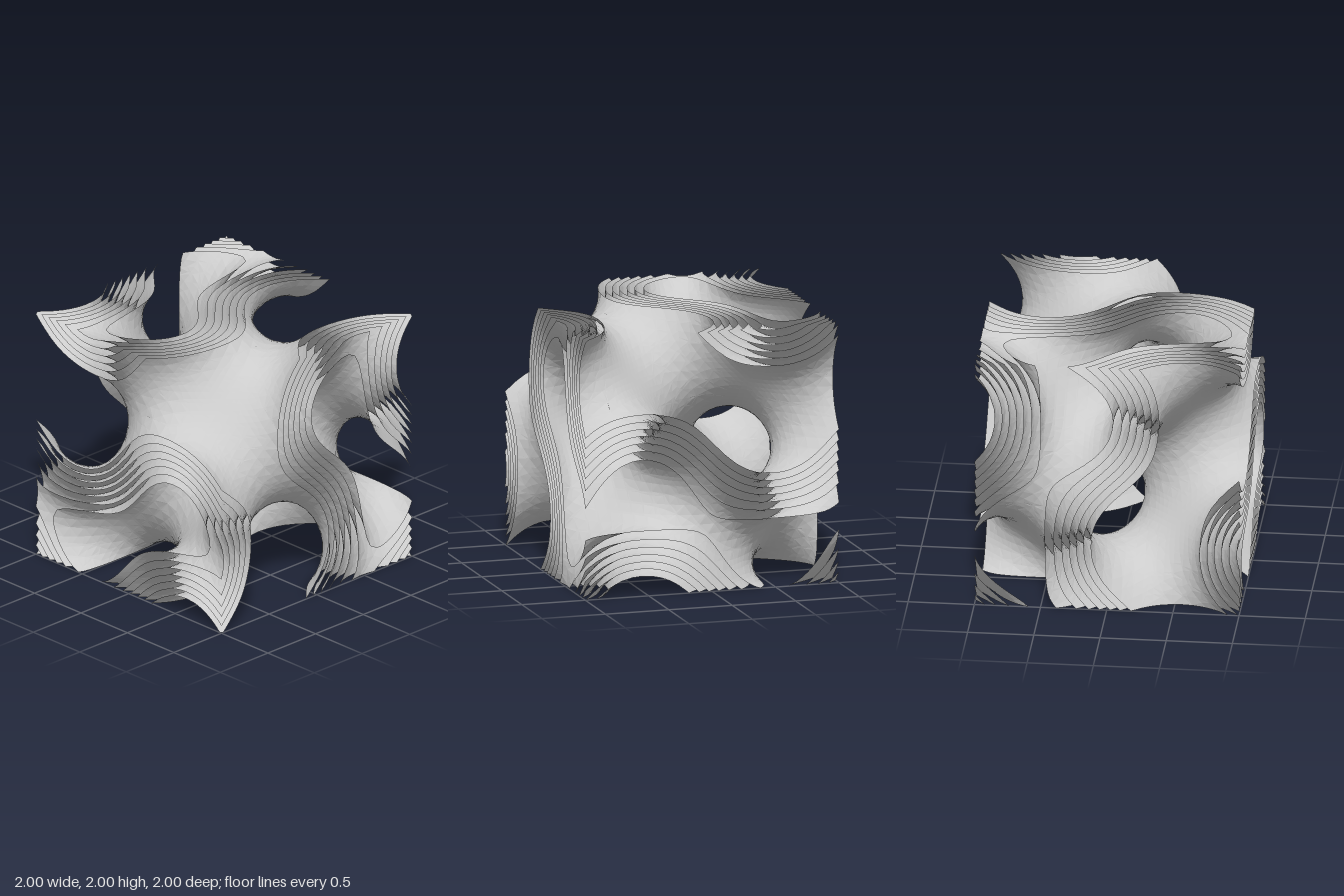
import * as THREE from 'three';

const CELLS = 27;              // grid cells along each side of the cube
const SIZE = 2;
const K = 2 * Math.PI / 2.065; // the wave is slightly longer than the cube
const LEVELS = 7, FIRST = -0.44, LAST = 0.95;

// Gyroid field, measured from the lower back corner of the cube
const field = ([x, y, z]) =>
  Math.sin(K * x) * Math.cos(K * y) +
  Math.sin(K * y) * Math.cos(K * z) +
  Math.sin(K * z) * Math.cos(K * x);

// Five tetrahedra per cell; corner bits are x = 1, y = 2, z = 4
const TETS = [[0, 3, 5, 6], [1, 0, 3, 5], [2, 0, 3, 6], [4, 0, 5, 6], [7, 3, 5, 6]];

const mix = (p, q, s) => p.map((v, i) => v + (q[i] - v) * s);

// Point on the edge p-q where the field equals the level
function crossing(p, q, level) {
  let a = 0, b = 1, s = 0.5;
  let fa = field(p) - level, fb = field(q) - level;
  for (let i = 0; i < 3; i++) {
    s = fa / (fa - fb) * (b - a) + a;
    const f = field(mix(p, q, s)) - level;
    if (Math.abs(f) < 1e-6) break;
    if ((f > 0) === (fa > 0)) { a = s; fa = f; } else { b = s; fb = f; }
  }
  return mix(p, q, s);
}

// One sheet of the gyroid, open where the cube cuts it
function sheetGeometry(level) {
  const h = SIZE / CELLS, out = [];
  const u = new THREE.Vector3(), v = new THREE.Vector3(), w = new THREE.Vector3();

  // Triangle wound so that it faces away from the given inner point
  const addTriangle = (a, b, c, inner) => {
    u.fromArray(b).sub(w.fromArray(a));
    v.fromArray(c).sub(w);
    u.cross(v);
    if (u.lengthSq() < 1e-16) return;
    const facesInner = u.dot(v.fromArray(inner).sub(w)) > 0;
    for (const p of facesInner ? [a, c, b] : [a, b, c]) out.push(p[0] - 1, p[1], p[2] - 1);
  };

  for (let i = 0; i < CELLS; i++)
    for (let j = 0; j < CELLS; j++)
      for (let k = 0; k < CELLS; k++) {
        const flip = (i + j + k) & 1; // alternate cells are mirrored so faces meet
        const corners = [], values = [];
        for (let n = 0; n < 8; n++) {
          const m = n ^ flip;
          corners.push([(i + (m & 1)) * h, (j + (m >> 1 & 1)) * h, (k + (m >> 2)) * h]);
          values.push(field(corners[n]) - level);
        }
        if (values.every(f => f > 0) || values.every(f => f <= 0)) continue;
        for (const tet of TETS) {
          const inside = tet.filter(n => values[n] > 0).map(n => corners[n]);
          const outside = tet.filter(n => values[n] <= 0).map(n => corners[n]);
          if (!inside.length || !outside.length) continue;
          const cut = (p, q) => crossing(p, q, level);
          if (inside.length === 2) {
            const [a, b] = inside, [c, d] = outside;
            const ac = cut(a, c), ad = cut(a, d), bc = cut(b, c), bd = cut(b, d);
            addTriangle(ac, ad, bd, a);
            addTriangle(ac, bd, bc, b);
          } else if (inside.length === 1) {
            const [p, q, r] = outside.map(o => cut(inside[0], o));
            addTriangle(p, q, r, inside[0]);
          } else {
            const [p, q, r] = inside.map(o => cut(o, outside[0]));
            addTriangle(p, q, r, inside[0]);
          }
        }
      }

  const geometry = new THREE.BufferGeometry();
  geometry.setAttribute('position', new THREE.Float32BufferAttribute(out, 3));
  geometry.computeVertexNormals();
  return geometry;
}

export function createModel() {
  const group = new THREE.Group();
  group.name = 'layeredGyroid';
  const material = new THREE.MeshStandardMaterial({
    color: 0xcccccc, flatShading: true, side: THREE.DoubleSide,
  });
  // Nested sheets at evenly spaced levels
  for (let n = 0; n < LEVELS; n++) {
    const level = FIRST + (LAST - FIRST) * n / (LEVELS - 1);
    const sheet = new THREE.Mesh(sheetGeometry(level), material);
    sheet.name = `gyroidSheet${n + 1}`;
    group.add(sheet);
  }
  return group;
}
